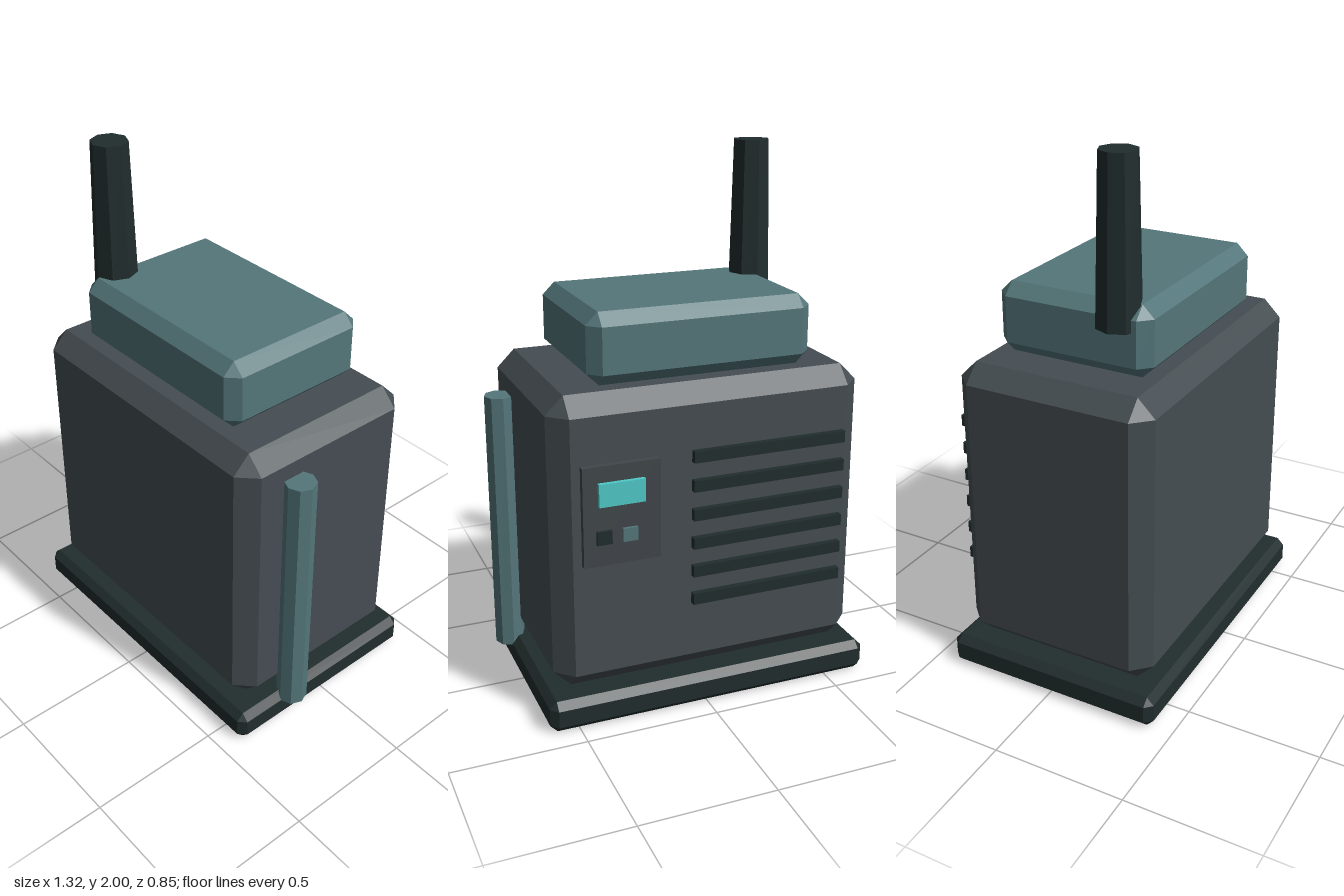
import * as THREE from 'three';
import { ConvexGeometry } from 'three/addons/geometries/ConvexGeometry.js';

const material = (name, color) => {
  const m = new THREE.MeshStandardMaterial({ color, flatShading: true });
  m.name = name;
  return m;
};

// Box with every edge cut by a flat chamfer c: three points per corner
function chamferBox(w, h, d, c) {
  const points = [];
  for (const sx of [-1, 1]) for (const sy of [-1, 1]) for (const sz of [-1, 1]) {
    for (const [a, b, e] of [[0, c, c], [c, 0, c], [c, c, 0]]) {
      points.push(new THREE.Vector3(sx * (w / 2 - a), sy * (h / 2 - b), sz * (d / 2 - e)));
    }
  }
  return new ConvexGeometry(points);
}

export function createModel() {
  const group = new THREE.Group();
  group.name = 'generator';

  const casing = material('casing grey', 0x454d52);
  const dark = material('dark green', 0x212d2d);
  const teal = material('dull teal', 0x54767a);
  const panelGrey = material('panel grey', 0x40464a);
  const glow = material('screen cyan', 0x4fcac8);

  const add = (name, geometry, mat, x, y, z) => {
    const mesh = new THREE.Mesh(geometry, mat);
    mesh.name = name;
    mesh.position.set(x, y, z);
    group.add(mesh);
  };
  const box = (w, h, d) => new THREE.BoxGeometry(w, h, d);

  // Stacked chamfered blocks
  add('base', chamferBox(1.27, 0.12, 0.85, 0.027), dark, -0.027, 0.06, 0);
  add('body', chamferBox(1.19, 1.105, 0.766, 0.066), casing, -0.027, 0.682, 0);
  add('topUnit', chamferBox(0.85, 0.26, 0.6, 0.045), teal, -0.027, 1.365, 0);

  // Exhaust stack and side pipe, both eight-sided
  add('exhaustStack', new THREE.CylinderGeometry(0.069, 0.083, 0.595, 8), dark, -0.412, 1.7025, 0.17);
  add('sidePipe', new THREE.CylinderGeometry(0.058, 0.058, 1.017, 8), teal, 0.602, 0.597, 0.17);

  // Control panel on the back
  add('controlPanel', box(0.285, 0.37, 0.04), panelGrey, 0.327, 0.812, -0.387);
  add('screen', box(0.17, 0.085, 0.02), glow, 0.33, 0.895, -0.413);
  add('darkButton', box(0.055, 0.05, 0.02), dark, 0.395, 0.735, -0.408);
  add('tealButton', box(0.055, 0.05, 0.02), teal, 0.3, 0.735, -0.408);

  // Vent slats on the back
  for (let i = 0; i < 6; i++) {
    add('ventSlat', box(0.597, 0.043, 0.04), dark, -0.242, 0.43 + i * 0.11, -0.387);
  }
  return group;
}
